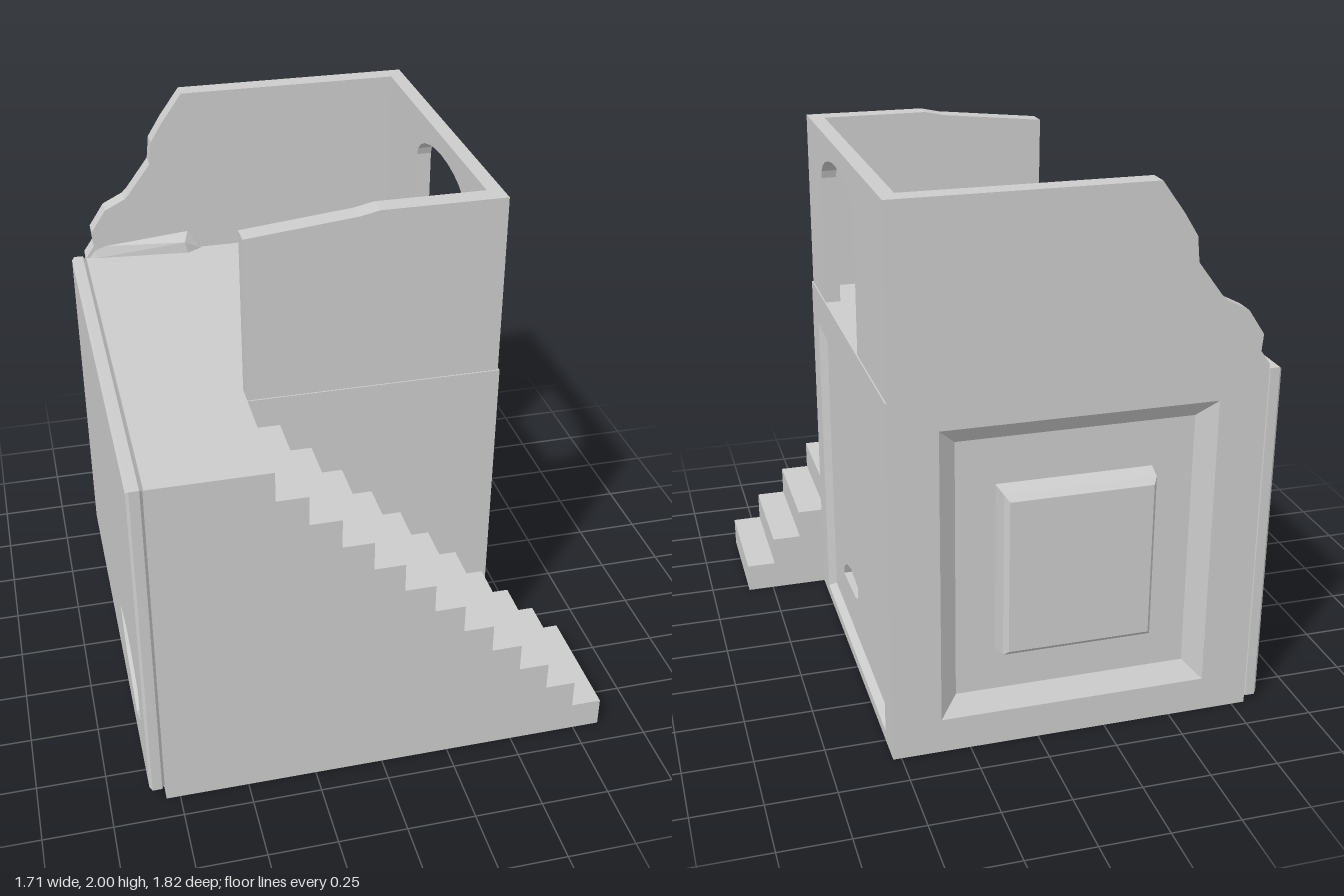
import * as THREE from 'three';
import { ConvexGeometry } from 'three/addons/geometries/ConvexGeometry.js';

const FLOOR = 1.34;

export function createModel() {
  const group = new THREE.Group();
  const material = new THREE.MeshStandardMaterial({ color: 0xcccccc, flatShading: true });

  const add = (name, geometry, x = 0, y = 0, z = 0, turn = 0) => {
    const mesh = new THREE.Mesh(geometry, material);
    mesh.name = name;
    mesh.position.set(x, y, z);
    mesh.rotation.y = turn;
    group.add(mesh);
    return mesh;
  };
  const vectors = (points) => points.map(([x, y]) => new THREE.Vector2(x, y));
  const extrude = (points, depth, hole, bevel = 0) => {
    const shape = new THREE.Shape(vectors(points));
    if (hole) shape.holes.push(new THREE.Path(vectors(hole)));
    return new THREE.ExtrudeGeometry(shape, {
      depth, bevelEnabled: bevel > 0, bevelSize: bevel, bevelThickness: bevel,
      bevelOffset: -bevel, bevelSegments: 1,
    });
  };
  const rect = (x0, x1, y0, y1) => [[x0, y0], [x1, y0], [x1, y1], [x0, y1]];

  // Joins rectangles [x0, x1, y0, y1, z] one after the other, facing +z
  const loftRects = (rings, cap = false) => {
    const corners = rings.map(([x0, x1, y0, y1, z]) =>
      rect(x0, x1, y0, y1).map(([x, y]) => [x, y, z]));
    const positions = [];
    const quad = (a, b, c, d) => positions.push(...a, ...b, ...c, ...a, ...c, ...d);
    for (let i = 0; i < rings.length - 1; i++) {
      for (let j = 0; j < 4; j++) {
        const k = (j + 1) % 4;
        quad(corners[i][j], corners[i][k], corners[i + 1][k], corners[i + 1][j]);
      }
    }
    if (cap) quad(...corners[corners.length - 1]);
    const geometry = new THREE.BufferGeometry();
    geometry.setAttribute('position', new THREE.Float32BufferAttribute(positions, 3));
    geometry.computeVertexNormals();
    return geometry;
  };
  // Picture-frame border around a sunken panel, with sloping inner edges
  const panelFrame = ([x0, x1, y0, y1], [a0, a1, b0, b1], inset, depth) => loftRects([
    [x0, x1, y0, y1, -depth],
    [x0, x1, y0, y1, 0],
    [a0, a1, b0, b1, 0],
    [a0 + inset, a1 - inset, b0 + inset, b1 - inset, -depth],
  ]);

  // Solid lower block
  add('lowerBlock', new THREE.BoxGeometry(1.26, FLOOR, 1.28), -0.17, FLOOR / 2, -0.18);

  // Staircase with the solid landing beside it
  const count = 12;
  const rise = FLOOR / count;
  const run = 1.23 / (count - 1);
  const steps = [[-0.8, 0], [0.85, 0]];
  for (let i = 0; i < count; i++) {
    const x = 0.85 - i * run;
    steps.push([x, (i + 1) * rise]);
    if (i < count - 1) steps.push([x - run, (i + 1) * rise]);
  }
  steps.push([-0.8, FLOOR]);
  add('staircase', extrude(steps, 0.45), 0, 0, 0.46);

  // Right side: sunken panel with a broken patch, and its frame
  const rightChip = [[0.14, 0.2], [0.12, 0.245], [0.06, 0.28], [-0.02, 0.3],
    [-0.15, 0.285], [-0.15, 0.24], [-0.1, 0.215]];
  add('rightPanel', extrude(rect(-0.82, 0.46, 0, FLOOR), 0.04, rightChip), 0.5, 0, 0, -Math.PI / 2);
  add('rightFrame', panelFrame([-0.46, 0.82, 0, FLOOR], [-0.34, 0.75, 0.04, 1.2], 0.016, 0.03),
    0.53, 0, 0, Math.PI / 2);

  // Back: deep bevelled frame with a raised block in the middle
  add('backFrame', panelFrame([-0.53, 0.8, 0, FLOOR], [-0.355, 0.625, 0.13, 1.225], 0.065, 0.05),
    0, 0, -0.87, Math.PI);
  add('backBlock', loftRects([
    [-0.15, 0.41, 0.36, 0.99, 0.82],
    [-0.14, 0.4, 0.37, 0.98, 0.89],
    [-0.125, 0.385, 0.39, 0.96, 0.91],
  ], true), 0, 0, 0, Math.PI);

  // Left side: thin bevelled slab with a broken patch
  const leftChip = [[0.23, 0.35], [0.38, 0.39], [0.54, 0.39], [0.7, 0.34],
    [0.71, 0.22], [0.59, 0.15], [0.33, 0.24], [0.27, 0.3]];
  add('leftSlab', extrude(rect(-0.86, 0.88, 0.02, 1.32), 0.035, leftChip, 0.01),
    -0.81, 0, 0, -Math.PI / 2);

  // Upper right wall with an arched doorway
  const doorway = [];
  for (let i = 0; i <= 12; i++) {
    const a = (Math.PI * i) / 12;
    doorway.push([-0.115 + 0.295 * Math.cos(a), 1.82 + 0.11 * Math.sin(a)]);
  }
  add('archWall', extrude([
    [-0.87, FLOOR], [-0.87, 2], [0.455, 2], [0.455, FLOOR],
    [0.18, FLOOR], ...doorway, [-0.41, FLOOR],
  ], 0.055), 0.525, 0, 0, -Math.PI / 2);

  // Upper front wall with a worn, sloping top
  add('frontWall', extrude([
    [-0.38, FLOOR], [0.47, FLOOR], [0.47, 2], [0.08, 2], [0.01, 1.985], [-0.38, 1.945],
  ], 0.075), 0, 0, 0.38);

  // Upper back wall with a crumbled end
  add('backWall', extrude([
    [-0.8, FLOOR], [0.47, FLOOR], [0.47, 2], [-0.38, 2], [-0.46, 1.89], [-0.51, 1.81],
    [-0.52, 1.72], [-0.61, 1.6], [-0.63, 1.58], [-0.71, 1.54], [-0.77, 1.45], [-0.765, 1.39],
  ], 0.075), 0, 0, -0.87);

  // Rubble at the foot of the broken wall
  add('rubble', new ConvexGeometry([
    [-0.8, 1.34, -0.8], [-0.76, 1.385, -0.8], [-0.38, 1.42, -0.8], [-0.33, 1.34, -0.8],
    [-0.33, 1.34, -0.785], [-0.39, 1.34, -0.75], [-0.4, 1.385, -0.755], [-0.76, 1.34, -0.785],
  ].map((p) => new THREE.Vector3(...p))));

  return group;
}
